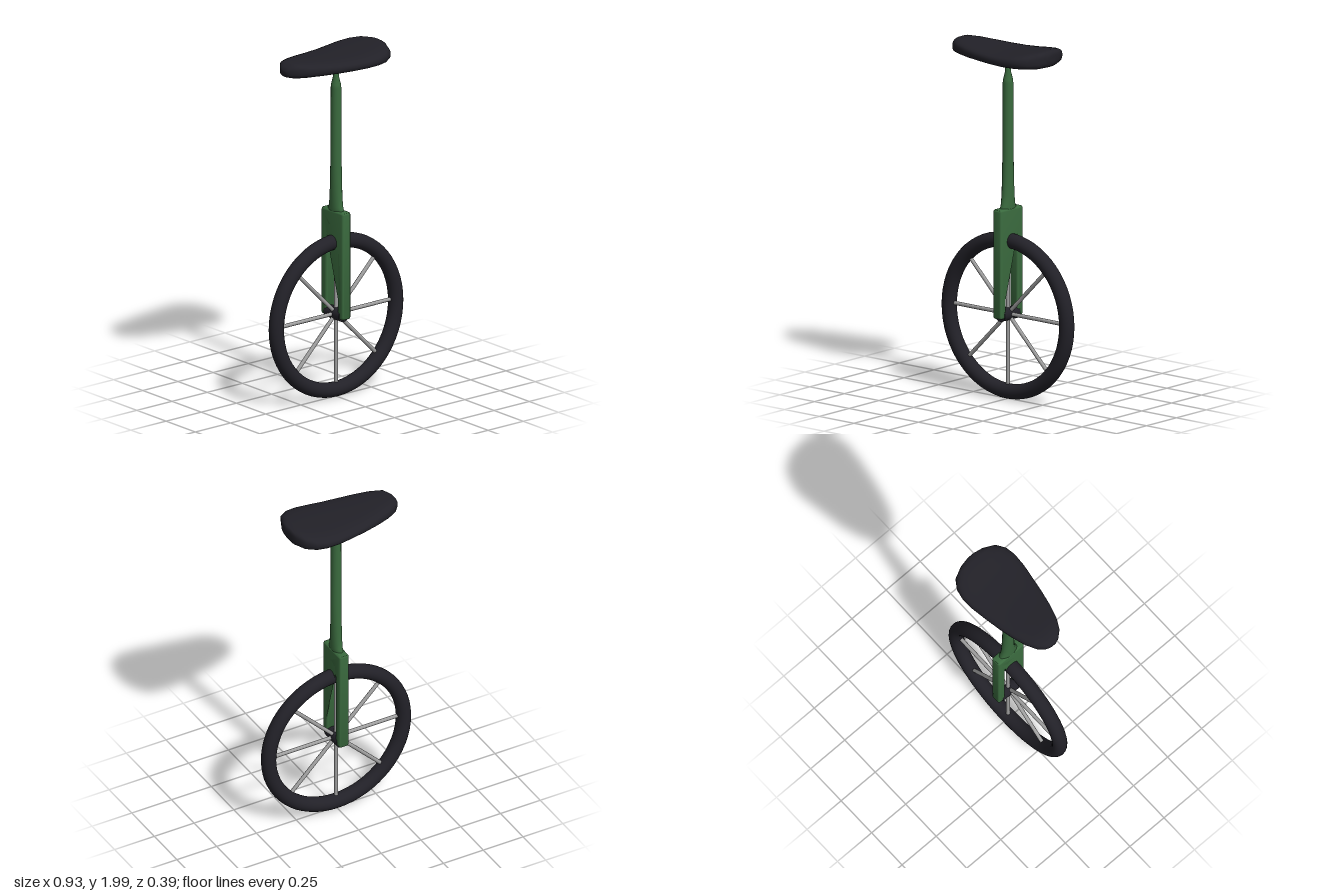
import * as THREE from 'three';
import { toCreasedNormals } from 'three/addons/utils/BufferGeometryUtils.js';

const HUB_Y = 0.483;
const TYRE_Y = 0.472;

const paint = (color) => {
  const m = new THREE.MeshStandardMaterial();
  m.color.set(color);
  return m;
};

// Closed skin over a list of equal-length rings of points
function loft(rings) {
  const n = rings[0].length;
  const pos = [];
  const idx = [];
  rings.forEach((ring) => ring.forEach((p) => pos.push(p.x, p.y, p.z)));
  for (let i = 0; i < rings.length - 1; i++) {
    for (let j = 0; j < n; j++) {
      const a = i * n + j, b = i * n + ((j + 1) % n);
      idx.push(a, a + n, b, b, a + n, b + n);
    }
  }
  const last = (rings.length - 1) * n;
  for (let j = 1; j < n - 1; j++) {
    idx.push(0, j, j + 1, last, last + j + 1, last + j);
  }
  const g = new THREE.BufferGeometry();
  g.setAttribute('position', new THREE.Float32BufferAttribute(pos, 3));
  g.setIndex(idx);
  g.computeVertexNormals();
  return g;
}

// Saddle: rounded cross-sections [x, half width, bottom, top] from nose to tail
function saddleGeometry() {
  const sections = [
    [-0.372, 0.02, 1.93, 1.955], [-0.362, 0.045, 1.914, 1.972], [-0.33, 0.083, 1.906, 1.992],
    [-0.27, 0.115, 1.904, 1.99], [-0.19, 0.14, 1.902, 1.984], [-0.1, 0.16, 1.9, 1.978],
    [0, 0.177, 1.898, 1.976], [0.083, 0.19, 1.898, 1.979], [0.157, 0.193, 1.899, 1.987],
    [0.215, 0.182, 1.901, 1.994], [0.265, 0.148, 1.904, 2.0], [0.295, 0.085, 1.912, 1.998],
    [0.305, 0.035, 1.93, 1.985],
  ];
  const soften = (v, e) => Math.sign(v) * Math.pow(Math.abs(v), e);
  const rings = sections.map(([x, w, lo, hi]) => {
    const ring = [];
    for (let j = 0; j < 28; j++) {
      const t = (j / 28) * Math.PI * 2;
      ring.push(new THREE.Vector3(
        x,
        (lo + hi) / 2 + ((hi - lo) / 2) * soften(Math.sin(t), 0.7),
        w * soften(Math.cos(t), 0.7),
      ));
    }
    return ring;
  });
  return loft(rings);
}

// Seat post: [y, half width in x, half width in z], flaring sideways into the fork
function postGeometry() {
  const sections = [
    [1.03, 0.029, 0.07], [1.08, 0.029, 0.06], [1.1, 0.03, 0.05], [1.15, 0.03, 0.042],
    [1.25, 0.03, 0.036], [1.4, 0.03, 0.031], [1.78, 0.029, 0.029], [1.8, 0.027, 0.027],
    [1.84, 0.017, 0.017], [1.92, 0.016, 0.016],
  ];
  const rings = sections.map(([y, rx, rz]) => {
    const ring = [];
    for (let j = 0; j < 16; j++) {
      const t = (j / 16) * Math.PI * 2;
      ring.push(new THREE.Vector3(rx * Math.cos(t), y, rz * Math.sin(t)));
    }
    return ring;
  });
  return loft(rings);
}

// Fork: two legs joined by an arch over the tyre
function forkGeometry() {
  const s = new THREE.Shape();
  const bottom = 0.465, top = 1.08, out = 0.094, inn = 0.046, r = 0.015;
  s.moveTo(-out + r, bottom);
  s.lineTo(-inn - r, bottom);
  s.quadraticCurveTo(-inn, bottom, -inn, bottom + r);
  s.lineTo(-inn, 0.87);
  s.bezierCurveTo(-inn + 0.002, 1.03, inn - 0.002, 1.03, inn, 0.87);
  s.lineTo(inn, bottom + r);
  s.quadraticCurveTo(inn, bottom, inn + r, bottom);
  s.lineTo(out - r, bottom);
  s.quadraticCurveTo(out, bottom, out, bottom + r);
  s.lineTo(out, top - r);
  s.quadraticCurveTo(out, top, out - r, top);
  s.lineTo(-out + r, top);
  s.quadraticCurveTo(-out, top, -out, top - r);
  s.lineTo(-out, bottom + r);
  s.quadraticCurveTo(-out, bottom, -out + r, bottom);
  const bevel = 0.012;
  const g = new THREE.ExtrudeGeometry(s, {
    depth: 0.06 - 2 * bevel, bevelThickness: bevel, bevelSize: bevel,
    bevelOffset: -bevel, bevelSegments: 3, curveSegments: 10,
  });
  g.translate(0, 0, -0.03 + bevel);
  g.rotateY(-Math.PI / 2);
  return toCreasedNormals(g, 0.7);
}

export function createModel() {
  const group = new THREE.Group();
  const black = paint(0x222128);
  const green = paint(0x3a6a3e);
  const steel = paint(0xa0a0a0);

  const add = (name, geometry, material, parent = group) => {
    const mesh = new THREE.Mesh(geometry, material);
    mesh.name = name;
    parent.add(mesh);
    return mesh;
  };

  add('saddle', saddleGeometry(), black);
  add('seatPost', postGeometry(), green);
  add('fork', forkGeometry(), green);

  // Wheel
  const wheel = new THREE.Group();
  wheel.name = 'wheel';
  group.add(wheel);
  add('tyre', new THREE.TorusGeometry(0.424, 0.042, 20, 64), black, wheel).position.y = TYRE_Y;

  const hub = add('hub', new THREE.CylinderGeometry(0.036, 0.036, 0.13, 20), black, wheel);
  hub.rotation.x = Math.PI / 2;
  hub.position.y = HUB_Y;

  for (let i = 0; i < 8; i++) {
    const g = new THREE.CylinderGeometry(0.011, 0.011, 0.4, 10);
    g.translate(0, 0.2, 0);
    const spoke = add('spoke', g, steel, wheel);
    spoke.position.y = HUB_Y;
    spoke.rotation.z = (i * Math.PI) / 4;
  }
  return group;
}
